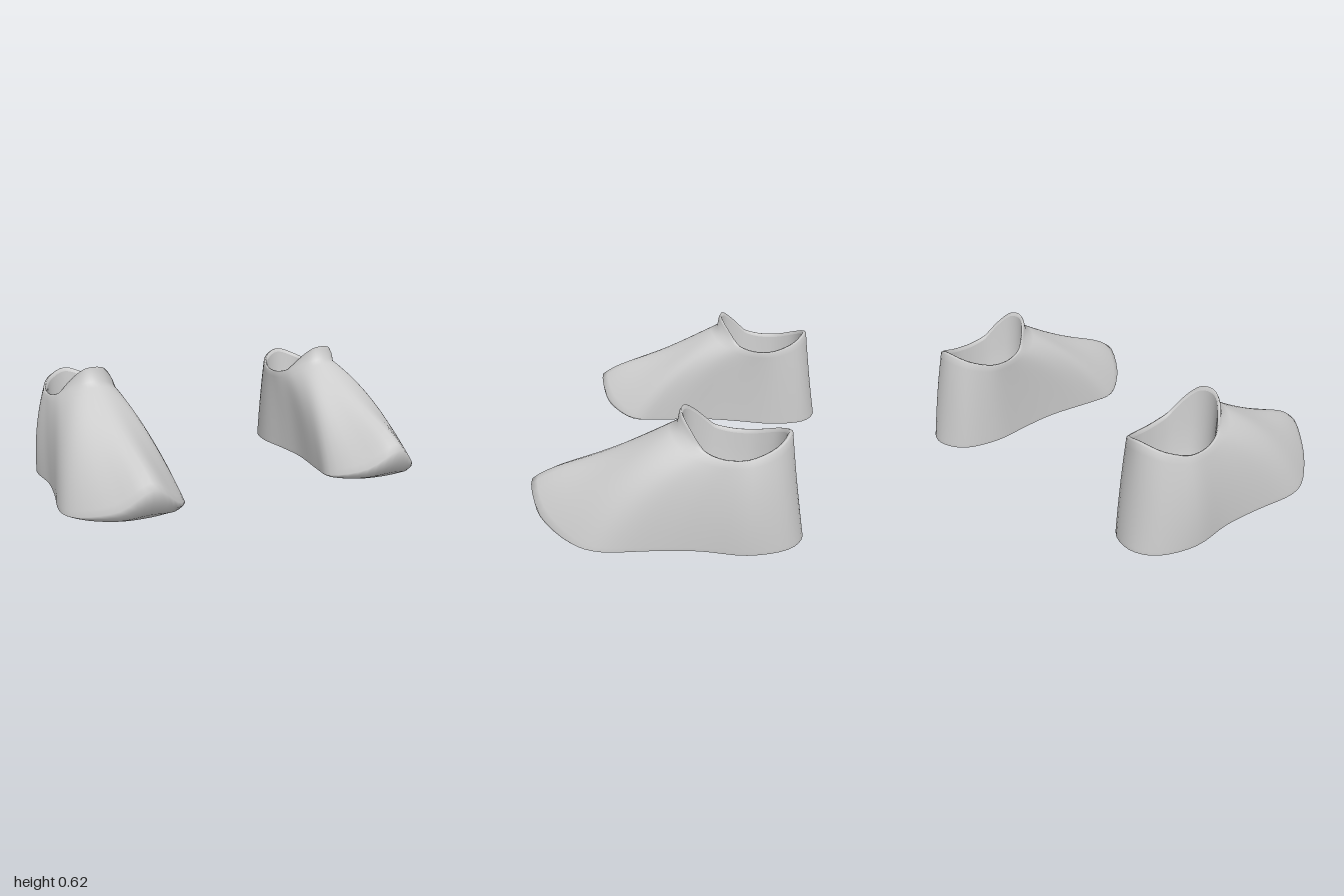
import * as THREE from 'three';

const SEG = 64, CX = 0.69, CZ = -0.34;
const vec = (p) => new THREE.Vector3(...p);

// Stations run from the toe round the outer side, the heel and the inner side
const edge = [
  [0.69, 0.18, 0.66], [0.83, 0.08, 0.59], [0.965, 0.015, 0.4], [1.0, 0, 0.24],
  [0.95, 0, 0], [0.92, 0, -0.2], [0.92, 0, -0.42], [0.84, 0, -0.6],
  [0.71, 0, -0.66], [0.57, 0, -0.6], [0.505, 0, -0.42], [0.51, 0, -0.2],
  [0.505, 0, 0], [0.455, 0, 0.25], [0.43, 0.015, 0.42], [0.54, 0.08, 0.59],
].map(vec);
const waist = [
  [0.69, 0.375, 0.25], [0.81, 0.355, 0.21], [0.895, 0.31, 0.16], [0.93, 0.27, 0.06],
  [0.915, 0.25, -0.11], [0.905, 0.24, -0.26], [0.905, 0.24, -0.43], [0.825, 0.25, -0.575],
  [0.7, 0.26, -0.622], [0.575, 0.25, -0.575], [0.515, 0.24, -0.43], [0.515, 0.24, -0.26],
  [0.515, 0.25, -0.11], [0.495, 0.27, 0.06], [0.505, 0.305, 0.17], [0.585, 0.35, 0.21],
].map(vec);
// Collar: one half is written, the other is mirrored
const halfCollar = [
  [0.69, 0.545, -0.06], [0.75, 0.535, -0.075], [0.8, 0.51, -0.12], [0.84, 0.475, -0.18],
  [0.86, 0.45, -0.25], [0.867, 0.44, -0.33], [0.857, 0.45, -0.43], [0.8, 0.49, -0.54],
  [0.69, 0.525, -0.59],
].map(vec);
const collar = [
  ...halfCollar,
  ...halfCollar.slice(1, 8).reverse().map((p) => new THREE.Vector3(2 * CX - p.x, p.y, p.z)),
];

// Smooth closed ring through the stations
function ring(points) {
  const curve = new THREE.CatmullRomCurve3(points, true, 'catmullrom', 0.5);
  return Array.from({ length: SEG }, (_, j) => curve.getPoint(j / SEG));
}

// Ring drawn in towards the middle of the opening
const inset = (points, k, height) => points.map((p) =>
  new THREE.Vector3(CX + (p.x - CX) * k, height(p), CZ + (p.z - CZ) * k));

// Skin over a stack of rings; side -1 mirrors it
function skin(name, rings, side) {
  const pos = [], index = [];
  rings.forEach((r) => r.forEach((p) => pos.push(p.x * side, p.y, p.z)));
  const tri = (a, b, c) => (side > 0 ? index.push(a, b, c) : index.push(a, c, b));
  for (let i = 0; i < rings.length - 1; i++) {
    for (let j = 0; j < SEG; j++) {
      const a = i * SEG + j, b = i * SEG + ((j + 1) % SEG);
      tri(a, b, b + SEG);
      tri(a, b + SEG, a + SEG);
    }
  }
  const geometry = new THREE.BufferGeometry();
  geometry.setAttribute('position', new THREE.Float32BufferAttribute(pos, 3));
  geometry.setIndex(index);
  geometry.computeVertexNormals();
  const mesh = new THREE.Mesh(geometry, new THREE.MeshStandardMaterial({
    color: 0xcccccc, side: THREE.DoubleSide,
  }));
  mesh.name = name;
  return mesh;
}

function createShoe(name, side) {
  const shoe = new THREE.Group();
  shoe.name = name;
  const edgeRing = ring(edge);
  edgeRing.forEach((p) => { p.y = Math.max(0, p.y); });
  const waistRing = ring(waist), collarRing = ring(collar);

  // Sole: flat on the ground, curling up under the toe and running smoothly into the upper
  const flat = edgeRing.map((p) => new THREE.Vector3(
    CX + (p.x - CX) * 0.9, 0, p.z > 0.4 ? 0.4 + (p.z - 0.4) * 0.35 : p.z * 0.95));
  const curl = (k, h) => flat.map((p, j) => {
    const q = p.clone().lerp(edgeRing[j], k);
    q.y = edgeRing[j].y * h;
    return q;
  });
  const middle = flat.map((p) => new THREE.Vector3(CX, 0, p.z * 0.6));
  const body = [middle, flat, curl(0.35, 0.07), curl(0.7, 0.27), curl(0.95, 0.65)];

  // Upper: each strand bends from the sole edge through the waist to the collar
  for (let i = 0; i <= 16; i++) {
    const t = (i / 16) ** 1.2;
    const toeCap = 1 + 2 * t * (1 - t) ** 6;
    body.push(edgeRing.map((e, j) => {
      const p = new THREE.Vector3()
        .addScaledVector(e, (1 - t) * (1 - 2 * t))
        .addScaledVector(waistRing[j], 4 * t * (1 - t))
        .addScaledVector(collarRing[j], t * (2 * t - 1));
      p.y += e.y * (toeCap - 1);
      return p;
    }));
  }

  // Collar lip with its raised tongue tip, rolled over into the opening
  const rise = (p) => p.y + 0.006 + 0.065 * THREE.MathUtils.clamp((p.z + 0.2) / 0.13, 0, 1);
  body.push(inset(collarRing, 0.965, (p) => p.y + (rise(p) - p.y) * 0.75));
  body.push(inset(collarRing, 0.93, rise));
  const inner = inset(collarRing, 0.9, (p) => rise(p) - 0.02);
  body.push(inner);
  shoe.add(skin('upperAndSole', body, side));

  // Lining: a foot well narrowing to a rounded floor
  const lining = [
    inner,
    inset(collarRing, 0.87, (p) => p.y * 0.8),
    inset(collarRing, 0.82, (p) => p.y * 0.55),
    inset(collarRing, 0.73, (p) => p.y * 0.35),
    inset(collarRing, 0.55, () => 0.1),
    inset(collarRing, 0.3, () => 0.075),
    inset(collarRing, 0, () => 0.07),
  ];
  shoe.add(skin('lining', lining, side));
  return shoe;
}

export function createModel() {
  const model = new THREE.Group();
  model.name = 'pairOfShoes';
  model.add(createShoe('leftShoe', 1), createShoe('rightShoe', -1));
  return model;
}
